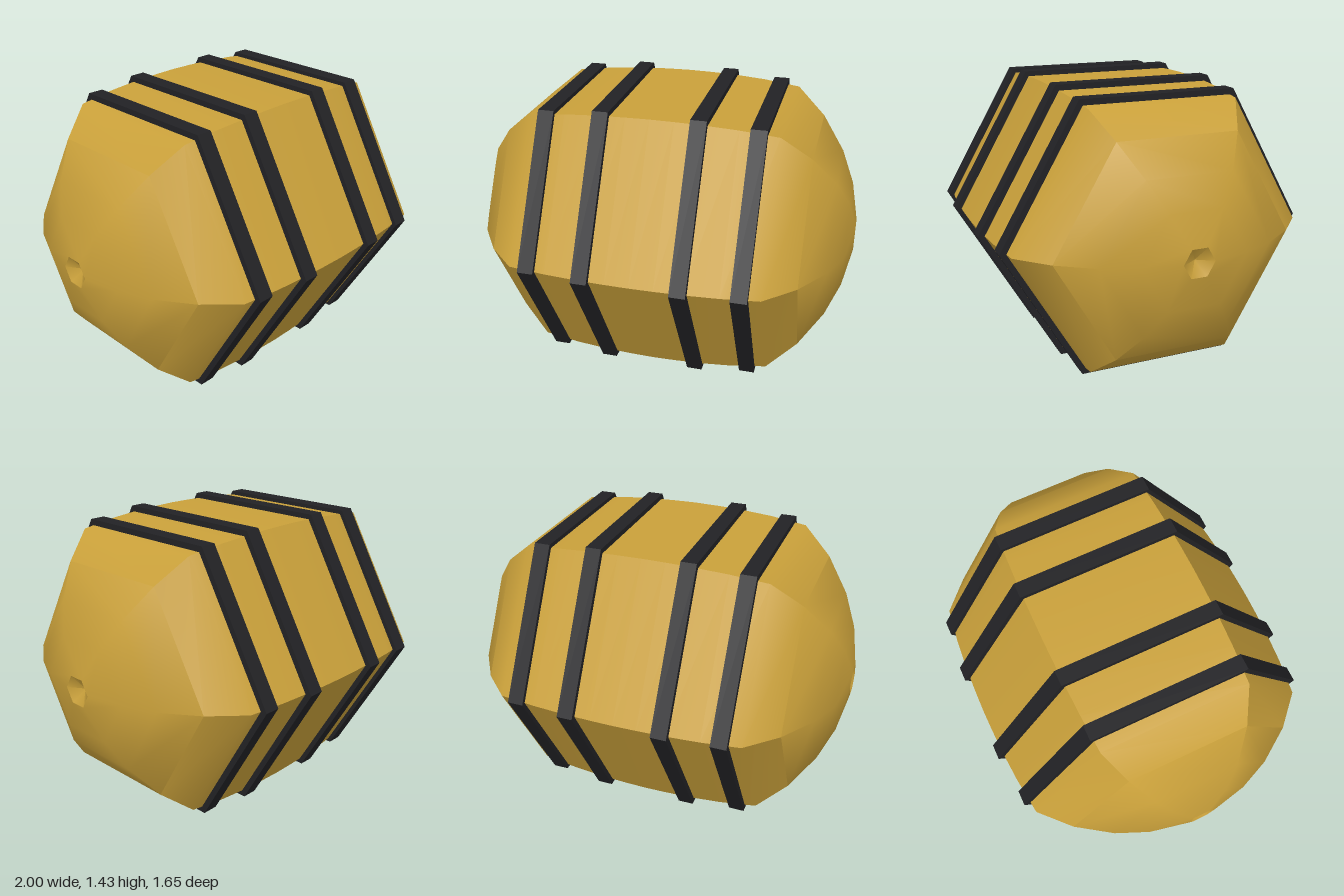
import * as THREE from 'three';
import { toCreasedNormals } from 'three/addons/utils/BufferGeometryUtils.js';

const SIDES = 6;
const CENTRE_Y = 0.7145;

// Six-sided lathe laid along the x axis; profile entries are [radius, x].
function hexLathe(profile) {
  const points = profile.map(([r, x]) => new THREE.Vector2(r, x));
  return new THREE.LatheGeometry(points, SIDES);
}

export function createModel() {
  const model = new THREE.Group();
  model.name = 'barrel';

  const barrel = new THREE.Group();
  barrel.name = 'barrelAssembly';
  barrel.rotation.z = -Math.PI / 2;
  barrel.position.y = CENTRE_Y;
  model.add(barrel);

  const gold = new THREE.MeshStandardMaterial({ color: 0xc9a03a });
  const black = new THREE.MeshStandardMaterial({ color: 0x222225, flatShading: true });

  // Body: bulging staves, domed ends and a small dimple at each pole
  const half = [
    [0.798, 0.12], [0.793, 0.26], [0.78, 0.43], [0.755, 0.62],
    [0.612, 0.77], [0.435, 0.89], [0.27, 0.96], [0.08, 1.0], [0, 0.95],
  ];
  const mirrored = half.map(([r, x]) => [r, -x]).reverse();
  const bodyGeometry = toCreasedNormals(
    hexLathe([...mirrored, [0.8, 0], ...half]),
    THREE.MathUtils.degToRad(40),
  );
  const body = new THREE.Mesh(bodyGeometry, gold);
  body.name = 'body';
  barrel.add(body);

  // Hoops: hexagonal bands in mirrored pairs, the inner pair slightly larger
  const width = 0.08;
  const hoops = [['innerHoop', 0.24, 0.825], ['outerHoop', 0.522, 0.797]];
  for (const [name, x, radius] of hoops) {
    const inner = radius - 0.06;
    const geometry = hexLathe([
      [inner, -width / 2], [radius, -width / 2],
      [radius, width / 2], [inner, width / 2], [inner, -width / 2],
    ]);
    for (const side of [1, -1]) {
      const hoop = new THREE.Mesh(geometry, black);
      hoop.name = name + (side > 0 ? 'Left' : 'Right');
      hoop.position.y = side * x;
      barrel.add(hoop);
    }
  }

  return model;
}
